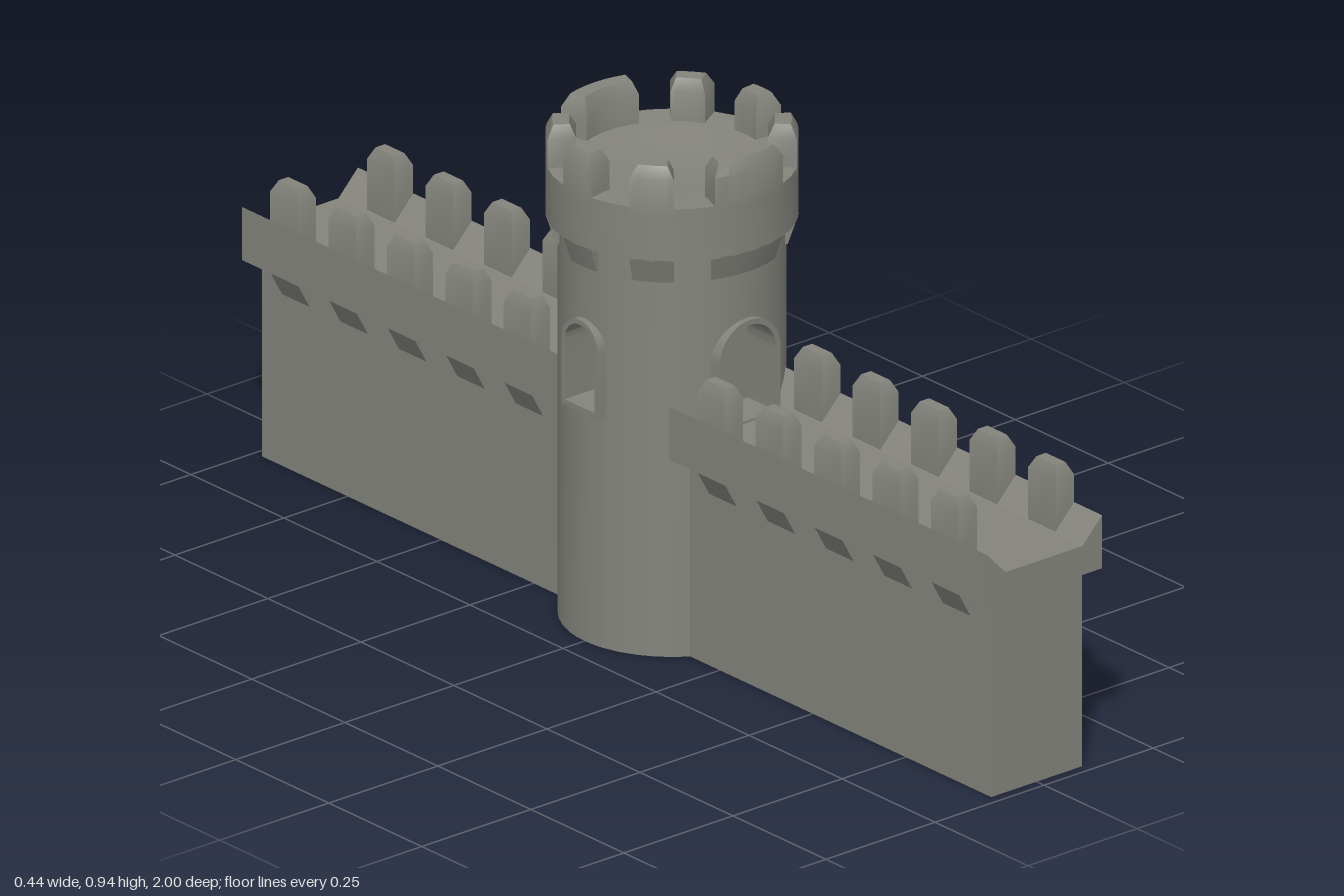
import * as THREE from 'three';
import { toCreasedNormals } from 'three/addons/utils/BufferGeometryUtils.js';

const stone = new THREE.MeshStandardMaterial({ color: 0x84847d });
stone.name = 'grey stone';

function mesh(name, geometry, parent) {
  const m = new THREE.Mesh(geometry, stone);
  m.name = name;
  parent.add(m);
  return m;
}

function fromTriangles(positions) {
  const g = new THREE.BufferGeometry();
  g.setAttribute('position', new THREE.Float32BufferAttribute(positions, 3));
  return toCreasedNormals(g, 0.5);
}

// Quad with corners counter-clockwise seen from its front
function quad(out, a, b, c, d) {
  out.push(...a, ...b, ...c, ...a, ...c, ...d);
}

// Joins horizontal rings (bottom to top, counter-clockwise from above) into a capped solid
function loft(rings) {
  const out = [], n = rings[0].length, top = rings[rings.length - 1], low = rings[0];
  for (let r = 0; r < rings.length - 1; r++) {
    for (let i = 0; i < n; i++) {
      const j = (i + 1) % n;
      quad(out, rings[r][i], rings[r][j], rings[r + 1][j], rings[r + 1][i]);
    }
  }
  for (let i = 0; i < n / 2 - 1; i++) {
    const k = n - 1 - i;
    quad(out, top[i], top[i + 1], top[k - 1], top[k]);
    quad(out, low[k], low[k - 1], low[i + 1], low[i]);
  }
  return fromTriangles(out);
}

// Curved block around the tower axis; levels are [y, inner radius, outer radius, half angle]
function curvedBlock(angle, levels) {
  const steps = 6;
  return loft(levels.map(([y, inner, outer, half]) => {
    const ring = [];
    for (const [radius, dir] of [[outer, 1], [inner, -1]]) {
      for (let i = 0; i <= steps; i++) {
        const a = angle + dir * half * (2 * i / steps - 1);
        ring.push([radius * Math.sin(a), y, radius * Math.cos(a)]);
      }
    }
    return ring;
  }));
}

// Rectangular block; levels are [y, x0, x1, half depth]
function taperedBlock(levels) {
  return loft(levels.map(([y, x0, x1, h]) => [[x0, y, h], [x1, y, h], [x1, y, -h], [x0, y, -h]]));
}

function archPath(path, half, bottom, spring) {
  path.moveTo(-half, bottom);
  path.lineTo(half, bottom);
  path.lineTo(half, spring);
  path.absarc(0, spring, half, 0, Math.PI, false);
  path.lineTo(-half, bottom);
  return path;
}

// Arched surround that also lines the opening
function archFrame(o, depth) {
  const shape = archPath(new THREE.Shape(), o.outer, o.bottom - 0.01, o.spring);
  shape.holes.push(archPath(new THREE.Path(), o.inner, o.bottom, o.spring));
  const g = new THREE.ExtrudeGeometry(shape, { depth, bevelEnabled: false, curveSegments: 12 });
  return toCreasedNormals(g, 0.6);
}

const doorway = { inner: 0.06, outer: 0.07, bottom: 0.434, spring: 0.554 };
const sideWindow = { inner: 0.04, outer: 0.049, bottom: 0.45, spring: 0.565 };

// Round tower wall with four arched openings
function towerShell(R, height) {
  const cols = [];
  for (let k = 0; k < 4; k++) {
    const o = k % 2 ? sideWindow : doorway;
    const next = k % 2 ? doorway : sideWindow;
    const w = (o.inner + o.outer) / 2, wNext = (next.inner + next.outer) / 2;
    const centre = k * Math.PI / 2;
    for (let i = 0; i <= 12; i++) {
      const x = -w * Math.cos(Math.PI * i / 12);
      cols.push({
        a: centre + Math.asin(x / R), lo: o.bottom - 0.005,
        hi: o.spring + Math.sqrt(Math.max(0, w * w - x * x)), open: i < 12,
      });
    }
    const a0 = centre + Math.asin(w / R);
    const a1 = centre + Math.PI / 2 - Math.asin(wNext / R);
    for (let i = 1; i < 6; i++) cols.push({ a: a0 + (a1 - a0) * i / 6, open: false });
  }
  const out = [];
  const at = (c, y) => [R * Math.sin(c.a), y, R * Math.cos(c.a)];
  cols.forEach((c, i) => {
    const d = cols[(i + 1) % cols.length];
    if (c.open) {
      quad(out, at(c, 0), at(d, 0), at(d, d.lo), at(c, c.lo));
      quad(out, at(c, c.hi), at(d, d.hi), at(d, height), at(c, height));
    } else {
      quad(out, at(c, 0), at(d, 0), at(d, height), at(c, height));
    }
  });
  return fromTriangles(out);
}

function buildTower() {
  const tower = new THREE.Group();
  tower.name = 'tower';
  mesh('towerWall', towerShell(0.2, 0.765), tower);
  mesh('towerBase', new THREE.CircleGeometry(0.2, 40).rotateX(Math.PI / 2), tower);

  // Overhanging crown with a slightly dished roof deck
  const profile = [[0.19, 0.76], [0.221, 0.76], [0.221, 0.86], [0.18, 0.86], [0.1, 0.849], [0, 0.845]]
    .map(([x, y]) => new THREE.Vector2(x, y));
  mesh('crown', toCreasedNormals(new THREE.LatheGeometry(profile, 36), 0.5), tower);

  // Eight merlons, each above a corbel: wide at front and back, narrow elsewhere
  const spots = [[0, 0.36], [0.87, 0.18], [Math.PI / 2, 0.17], [Math.PI - 0.87, 0.18]];
  for (const turn of [0, Math.PI]) {
    for (const [angle, half] of spots) {
      mesh('towerMerlon', curvedBlock(angle + turn, [
        [0.845, 0.17, 0.221, half], [0.914, 0.17, 0.221, half], [0.937, 0.18, 0.209, half - 0.055],
      ]), tower);
      mesh('towerCorbel', curvedBlock(angle + turn, [
        [0.714, 0.19, 0.205, half], [0.762, 0.19, 0.221, half],
      ]), tower);
    }
  }

  // Blind doorways onto the wall walks
  for (const turn of [0, Math.PI]) {
    const door = new THREE.Group();
    door.name = 'doorway';
    door.rotation.y = turn;
    mesh('doorFrame', archFrame(doorway, 0.08), door).position.z = 0.13;
    mesh('doorBack', new THREE.BoxGeometry(0.13, 0.19, 0.01), door).position.set(0, 0.524, 0.128);
    tower.add(door);
  }

  // Window passage running right through the tower
  const passage = mesh('sideWindows', archFrame(sideWindow, 0.424), tower);
  passage.rotation.y = Math.PI / 2;
  passage.position.x = -0.212;
  return tower;
}

function buildWall() {
  const wall = new THREE.Group();
  wall.name = 'curtainWall';
  mesh('wallBody', new THREE.BoxGeometry(0.208, 0.376, 0.84), wall).position.set(0, 0.188, 0.56);

  // Walkway with sloped parapet edges
  const section = new THREE.Shape([
    [-0.133, 0.375], [0.133, 0.375], [0.133, 0.476], [0.088, 0.43], [-0.088, 0.43], [-0.133, 0.476],
  ].map(([x, y]) => new THREE.Vector2(x, y)));
  const walk = new THREE.ExtrudeGeometry(section, { depth: 0.865, bevelEnabled: false });
  mesh('wallWalk', walk, wall).position.z = 0.135;

  // Merlons and corbels along both edges
  const merlon = taperedBlock([
    [0.428, 0.09, 0.1325, 0.037], [0.53, 0.09, 0.1325, 0.037], [0.552, 0.1, 0.122, 0.026],
  ]);
  const corbel = taperedBlock([[0.327, 0.1, 0.105, 0.037], [0.377, 0.1, 0.1325, 0.037]]);
  for (let i = 0; i < 5; i++) {
    for (const turn of [0, Math.PI]) {
      for (const [name, g] of [['wallMerlon', merlon], ['wallCorbel', corbel]]) {
        const m = mesh(name, g, wall);
        m.position.z = 0.26 + i * 0.157;
        m.rotation.y = turn;
      }
    }
  }
  return wall;
}

export function createModel() {
  const model = new THREE.Group();
  model.name = 'castleTowerWithWalls';
  model.add(buildTower());
  for (const turn of [0, Math.PI]) {
    const wall = buildWall();
    wall.rotation.y = turn;
    model.add(wall);
  }
  return model;
}
